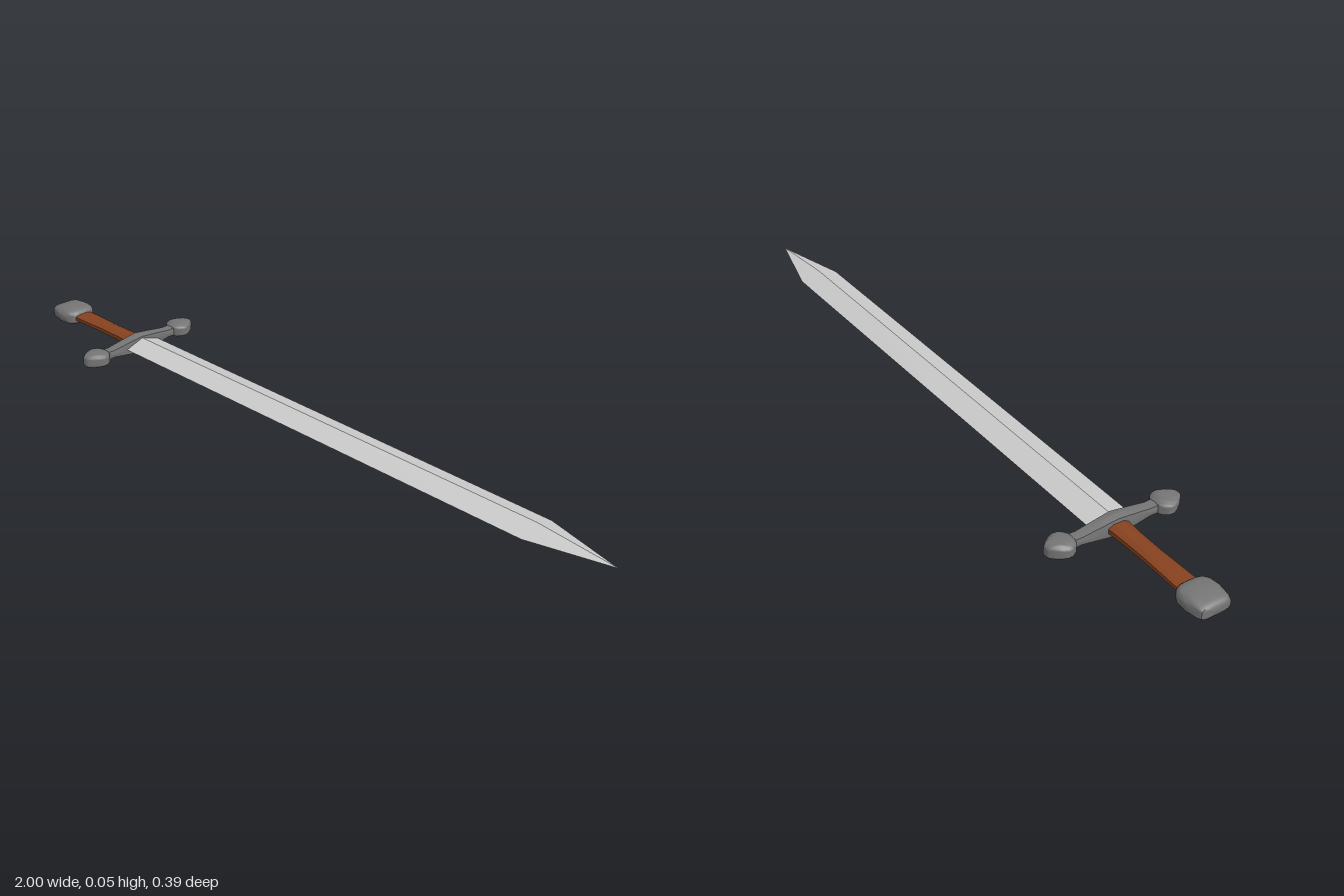
import * as THREE from 'three';
import { toCreasedNormals } from 'three/addons/utils/BufferGeometryUtils.js';

const steel = new THREE.MeshStandardMaterial({ color: 0xcccccc });
const iron = new THREE.MeshStandardMaterial({ color: 0x757575 });
const leather = new THREE.MeshStandardMaterial({ color: 0x87421f });

// Loft along x through sections [x, halfWidthZ, halfHeightY];
// power 1 gives round sections, smaller powers squarer ones
function loft(sections, sides, power, crease, turn = 0) {
  const pos = [], idx = [];
  const bend = (v) => Math.sign(v) * Math.abs(v) ** power;
  for (const [x, w, h] of sections) {
    for (let j = 0; j < sides; j++) {
      const t = ((j + turn) / sides) * Math.PI * 2;
      pos.push(x, h * bend(Math.cos(t)), w * bend(Math.sin(t)));
    }
  }
  const last = sections.length - 1;
  const c0 = pos.length / 3;
  pos.push(sections[0][0], 0, 0, sections[last][0], 0, 0);
  for (let j = 0; j < sides; j++) {
    const k = (j + 1) % sides;
    for (let i = 0; i < last; i++) {
      const a = i * sides + j, b = i * sides + k;
      idx.push(a, b, b + sides, a, b + sides, a + sides);
    }
    idx.push(c0, k, j, c0 + 1, last * sides + j, last * sides + k);
  }
  const g = new THREE.BufferGeometry();
  g.setAttribute('position', new THREE.Float32BufferAttribute(pos, 3));
  g.setIndex(idx);
  return toCreasedNormals(g, crease);
}

export function createModel() {
  const sword = new THREE.Group();
  sword.name = 'sword';
  const add = (name, geometry, material, parent = sword) => {
    const mesh = new THREE.Mesh(geometry, material);
    mesh.name = name;
    parent.add(mesh);
    return mesh;
  };

  // Diamond-section blade with tapered point
  add('blade', loft([[-0.645, 0.057, 0.0195], [0.78, 0.057, 0.0195], [1, 0.0004, 0.0004]], 4, 1, 0.1), steel);

  // Flattened octagonal grip, slightly waisted
  add('grip', loft([
    [-0.92, 0.031, 0.010], [-0.85, 0.029, 0.011], [-0.78, 0.027, 0.012],
    [-0.71, 0.028, 0.013], [-0.64, 0.032, 0.015],
  ], 8, 0.85, 0.4, 0.5), leather);

  // Rounded block pommel narrowing towards the grip
  add('pommel', loft([
    [-1, 0.030, 0.011], [-0.996, 0.041, 0.017], [-0.985, 0.046, 0.021], [-0.95, 0.051, 0.0235],
    [-0.925, 0.049, 0.023], [-0.912, 0.043, 0.021], [-0.904, 0.034, 0.016], [-0.901, 0.026, 0.011],
  ], 24, 0.6, 0.7), iron);

  // Crossguard: bar swelling at the middle, with spade-shaped ends
  const guard = new THREE.Group();
  guard.name = 'crossguard';
  guard.position.x = -0.642;
  sword.add(guard);
  const bar = add('guardBar', loft([
    [-0.14, 0.016, 0.014], [-0.1, 0.016, 0.012], [-0.05, 0.018, 0.020], [0, 0.020, 0.0275],
    [0.05, 0.018, 0.020], [0.1, 0.016, 0.012], [0.14, 0.016, 0.014],
  ], 8, 0.4, 0.35), iron, guard);
  bar.rotation.y = -Math.PI / 2;
  const endGeometry = loft([
    [0.118, 0.013, 0.011], [0.121, 0.021, 0.0155], [0.128, 0.030, 0.0185], [0.14, 0.037, 0.020],
    [0.152, 0.038, 0.020], [0.165, 0.032, 0.020], [0.179, 0.022, 0.0185], [0.189, 0.013, 0.015],
    [0.194, 0.007, 0.010], [0.196, 0.003, 0.005],
  ], 24, 0.65, 0.9);
  for (const side of [-1, 1]) {
    add(side > 0 ? 'guardEndFront' : 'guardEndBack', endGeometry, iron, guard).rotation.y = -side * Math.PI / 2;
  }

  sword.position.y = 0.0285;
  const model = new THREE.Group();
  model.add(sword);
  return model;
}
